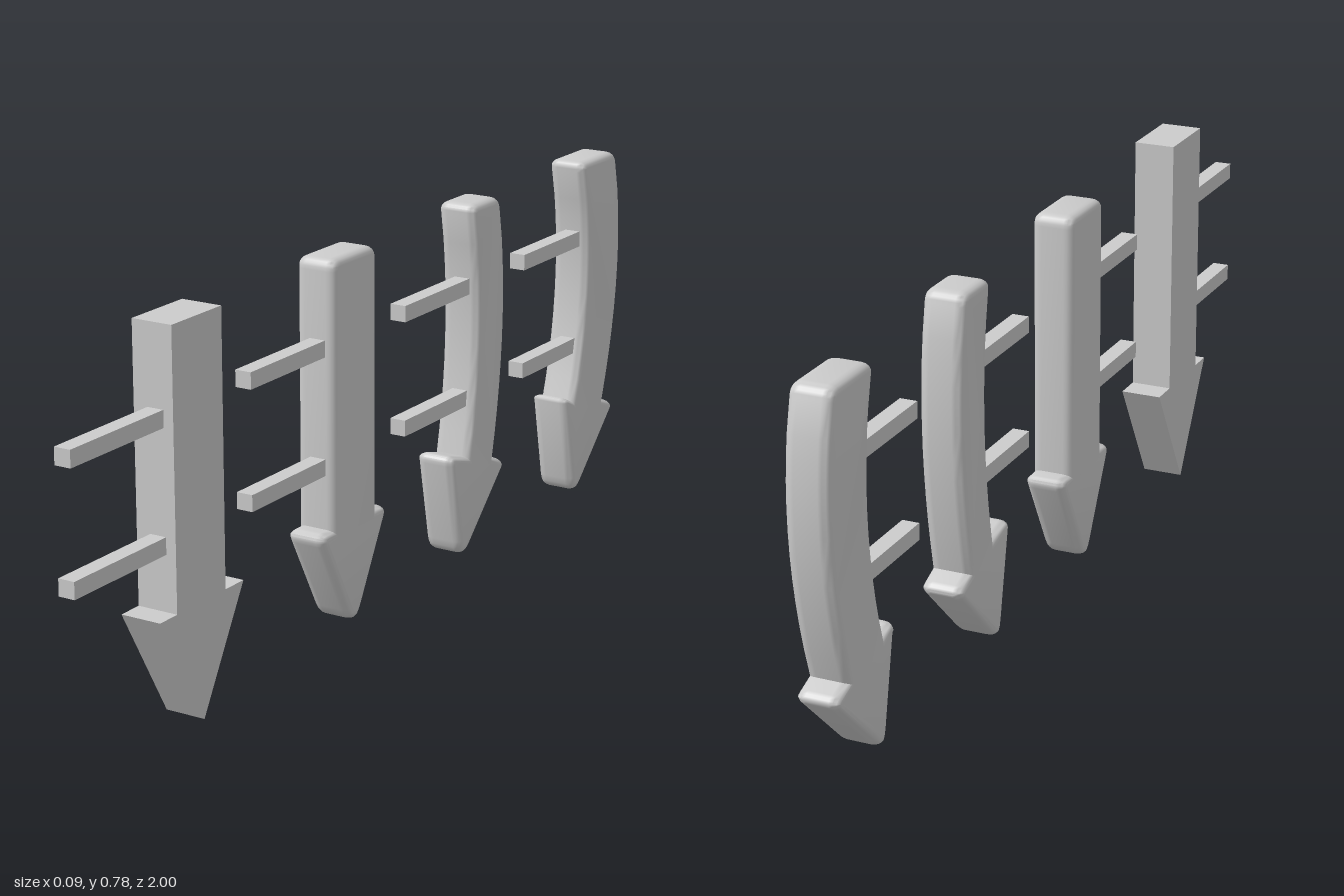
import * as THREE from 'three';
import { toCreasedNormals } from 'three/addons/utils/BufferGeometryUtils.js';

const material = new THREE.MeshStandardMaterial({ color: 0xcccccc });
const HALF = 0.0435; // half thickness of every arrow

// Outline of [z, y, cut] corners; cut is the length rounded off each side.
function outline(corners) {
  const shape = new THREE.Shape();
  const n = corners.length;
  corners.forEach(([z, y, cut = 0], i) => {
    const p = new THREE.Vector2(z, y);
    const toward = ([a, b]) => new THREE.Vector2(a, b).sub(p).setLength(cut).add(p);
    const a = toward(corners[(i + n - 1) % n]);
    const b = toward(corners[(i + 1) % n]);
    if (i === 0) shape.moveTo(a.x, a.y);
    else shape.lineTo(a.x, a.y);
    if (cut > 0) shape.quadraticCurveTo(p.x, p.y, b.x, b.y);
  });
  shape.closePath();
  return shape;
}

// Interior points of a bowed side from a to b, passing through mid.
function bow(a, mid, b) {
  const v = ([z, y]) => new THREE.Vector2(z, y);
  const control = v(mid).multiplyScalar(2).sub(v(a).add(v(b)).multiplyScalar(0.5));
  const points = new THREE.QuadraticBezierCurve(v(a), control, v(b)).getPoints(12);
  return points.slice(1, -1).map((p) => [p.x, p.y]);
}

// Extrudes an outline across x, optionally with rounded edges.
function arrowMesh(name, corners, rounded) {
  const bevel = rounded ? 0.02 : 0;
  let geometry = new THREE.ExtrudeGeometry(outline(corners), {
    depth: 2 * (HALF - bevel),
    curveSegments: 6,
    bevelEnabled: rounded,
    bevelThickness: bevel,
    bevelSize: 0.014,
    bevelOffset: -0.014,
    bevelSegments: 4,
  });
  geometry.translate(0, 0, -(HALF - bevel));
  geometry.rotateY(-Math.PI / 2);
  geometry = toCreasedNormals(geometry, 0.7);
  const mesh = new THREE.Mesh(geometry, material);
  mesh.name = name;
  return mesh;
}

// Seven key corners of a bowed arrow.
function bowedCorners({ topFront, topBack, backMid, backNeck, backBarb, tip, frontBarb, frontNeck, frontMid }) {
  return [
    [...topFront, 0.024],
    ...bow(topFront, frontMid, frontNeck).slice(1),
    frontNeck,
    [...frontBarb, 0.026],
    [...tip, 0.05],
    [...backBarb, 0.026],
    backNeck,
    ...bow(backNeck, backMid, topBack).slice(0, -1),
    [...topBack, 0.024],
  ];
}

export function createModel() {
  const model = new THREE.Group();
  model.name = 'arrowRack';

  const arrows = [
    { // sharp-edged straight arrow
      name: 'sharpArrow', rounded: false, bar: [1, 0.72],
      corners: [[0.727, 0.784], [0.727, 0.235], [0.78, 0.235], [0.647, 0],
        [0.513, 0.235], [0.572, 0.235], [0.572, 0.784]],
    },
    { // straight arrow with rounded edges
      name: 'roundedArrow', rounded: true, bar: [0.449, 0.18],
      corners: [[0.194, 0.784, 0.024], [0.194, 0.235], [0.243, 0.235, 0.03], [0.117, 0, 0.057],
        [-0.01, 0.235, 0.03], [0.037, 0.235], [0.037, 0.784, 0.024]],
    },
    { // narrow bowed arrow
      name: 'narrowBowedArrow', rounded: true, bar: [-0.104, -0.375],
      corners: bowedCorners({
        topFront: [-0.338, 0.784], frontMid: [-0.363, 0.52], frontNeck: [-0.332, 0.243],
        frontBarb: [-0.256, 0.264], tip: [-0.306, 0.012], backBarb: [-0.492, 0.192],
        backNeck: [-0.437, 0.214], backMid: [-0.476, 0.515], topBack: [-0.452, 0.784],
      }),
    },
    { // wide bowed arrow
      name: 'wideBowedArrow', rounded: true, bar: [-0.594, -0.855],
      corners: bowedCorners({
        topFront: [-0.814, 0.784], frontMid: [-0.845, 0.52], frontNeck: [-0.797, 0.245],
        frontBarb: [-0.753, 0.266], tip: [-0.803, 0.012], backBarb: [-0.992, 0.194],
        backNeck: [-0.937, 0.214], backMid: [-0.998, 0.515], topBack: [-0.97, 0.784],
      }),
    },
  ];

  for (const { name, rounded, bar, corners } of arrows) {
    const group = new THREE.Group();
    group.name = name;
    group.add(arrowMesh(name + 'Body', corners, rounded));
    // two square bars reaching forward
    [['upperBar', 0.606], ['lowerBar', 0.364]].forEach(([barName, y]) => {
      const mesh = new THREE.Mesh(new THREE.BoxGeometry(0.035, 0.034, bar[0] - bar[1]), material);
      mesh.position.set(0.0045, y, (bar[0] + bar[1]) / 2);
      mesh.name = barName;
      group.add(mesh);
    });
    model.add(group);
  }
  return model;
}
